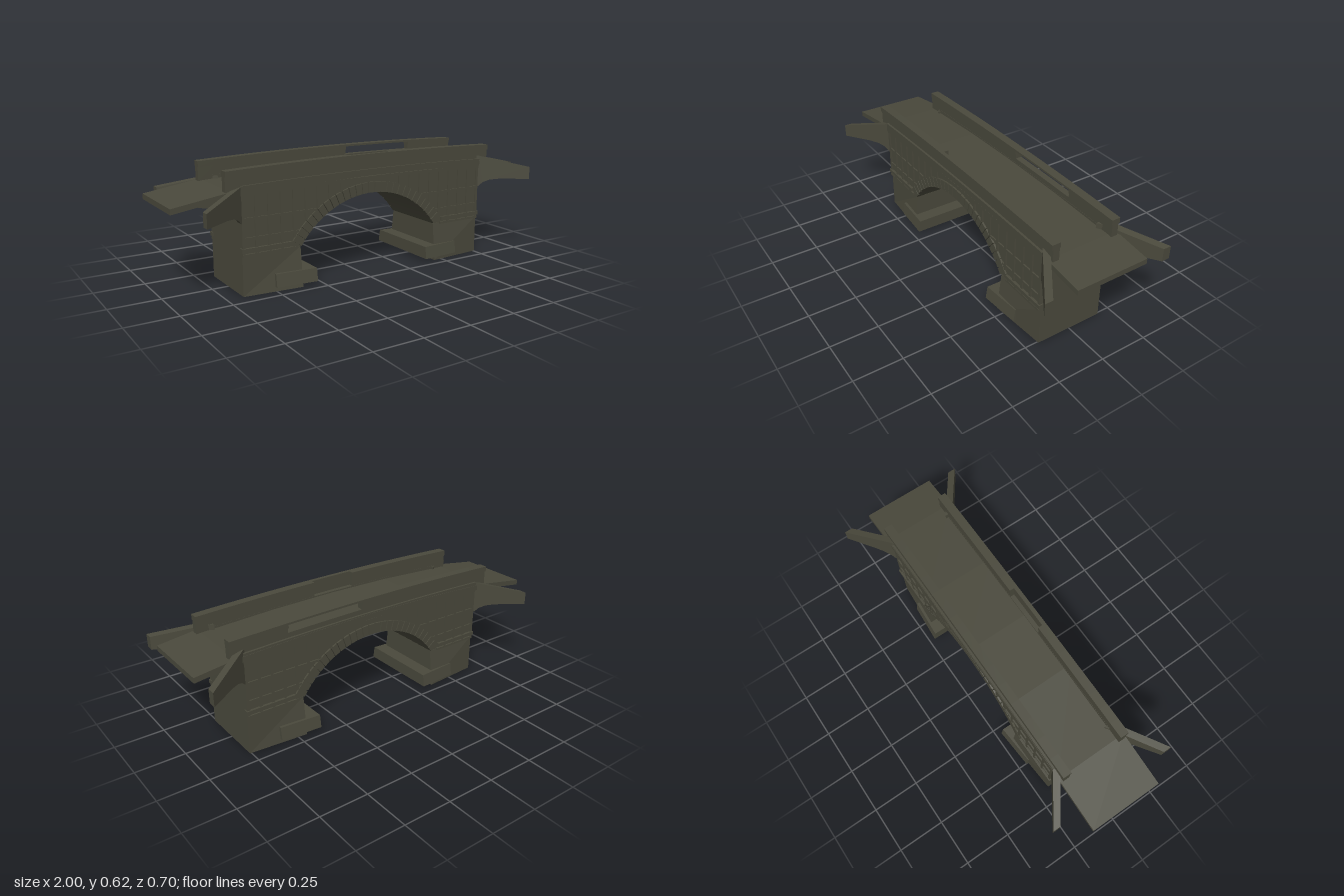
import * as THREE from 'three';

const CX = 0.045;                         // middle of the span
const stone = new THREE.MeshStandardMaterial({ color: 0x4a493c });
stone.name = 'weatheredStone';

export function createModel() {
  const model = new THREE.Group();
  model.name = 'archBridge';

  function add(geo, name) {
    const g = geo.index ? geo.toNonIndexed() : geo;
    g.computeVertexNormals();
    const mesh = new THREE.Mesh(g, stone);
    mesh.name = name;
    model.add(mesh);
    return mesh;
  }

  // Extrudes an x-y outline between two depths
  function prism(pts, z0, z1) {
    const shape = new THREE.Shape(pts.map(([x, y]) => new THREE.Vector2(x, y)));
    const g = new THREE.ExtrudeGeometry(shape, { depth: z1 - z0, bevelEnabled: false });
    return g.translate(0, 0, z0);
  }

  const box = (x0, x1, y0, y1, z0, z1) => new THREE.BoxGeometry(x1 - x0, y1 - y0, z1 - z0)
    .translate((x0 + x1) / 2, (y0 + y1) / 2, (z0 + z1) / 2);

  // Outline of a long bar that rises gently to mid-span
  const camber = x => 0.015 * (1 - ((x - CX) / 0.78) ** 2);
  function bar(x0, x1, y0, y1, z0, z1) {
    const top = [], bottom = [], n = 8;
    for (let i = 0; i <= n; i++) {
      const x = x0 + (x1 - x0) * i / n;
      bottom.push([x, y0 + camber(x)]);
      top.unshift([x, y1 + camber(x)]);
    }
    return prism([...bottom, ...top], z0, z1);
  }

  // Segmental arch
  const R = 0.488, RO = 0.542, AY = -0.068, HALF = 0.985;
  const onArch = (r, a) => [CX + r * Math.sin(a), AY + r * Math.cos(a)];

  // Spandrel body with the arch cut out
  const outline = [[CX + 0.712, 0.2], [CX + 0.712, 0.5], [CX - 0.712, 0.5], [CX - 0.712, 0.2]];
  for (let i = 0; i <= 26; i++) outline.push(onArch(R, -HALF + 2 * HALF * i / 26));
  add(prism(outline, -0.18, 0.18), 'spandrelBody');

  // Piers flaring toward the water, with footing slabs
  for (const s of [-1, 1]) {
    const span = (a, b) => [CX + s * a, CX + s * b].sort((p, q) => p - q);
    const flare = (g, topIn, bottomIn, topOut, bottomOut, midD, midY) => {
      const p = g.attributes.position;
      for (let i = 0; i < p.count; i++) {
        const inner = s * (p.getX(i) - CX) < midD, top = p.getY(i) > midY;
        const z = inner ? (top ? topIn : bottomIn) : (top ? topOut : bottomOut);
        p.setZ(i, Math.sign(p.getZ(i)) * z);
      }
      return g;
    };
    add(flare(box(...span(0.407, 0.712), 0, 0.201, -0.18, 0.18), 0.18, 0.203, 0.18, 0.18, 0.55, 0.1), 'pier');
    add(flare(box(...span(0.335, 0.55), 0.022, 0.087, -0.2, 0.2), 0.212, 0.222, 0.197, 0.207, 0.44, 0.05), 'footing');

    // Corbel under the deck overhang
    const drop = s < 0 ? 0.022 : 0;
    const place = pts => pts.map(([d, y]) => [CX + s * d, y - drop]);
    add(prism(place([[0.7, 0.42], [0.712, 0.425], [0.76, 0.446], [0.9, 0.466], [0.9, 0.476], [0.7, 0.5]]),
      -0.15, 0.15), 'endCorbel');

    // Splayed wing walls, front and back
    const wing = [[0.69, 0.375], [0.715, 0.375], [0.735, 0.397], [0.765, 0.412], [0.81, 0.418],
      [0.942, 0.418], [0.942, 0.485], [0.715, 0.545], [0.69, 0.545]];
    for (const f of [-1, 1]) {
      const g = prism(place(wing), f > 0 ? 0.306 : -0.348, f > 0 ? 0.348 : -0.306);
      const p = g.attributes.position;
      for (let i = 0; i < p.count; i++) {
        p.setZ(i, p.getZ(i) - f * 0.7 * (0.942 - s * (p.getX(i) - CX)));
      }
      add(g, 'wingWall');
    }
  }

  // Facade details on both long sides
  for (const f of [-1, 1]) {
    const depth = (a, b) => f > 0 ? [a, b] : [-b, -a];

    // Ring of wedge stones
    const n = 27, step = 2 * HALF / n;
    for (let i = 0; i < n; i++) {
      const a = -HALF + i * step + 0.004, b = a + step - 0.008;
      add(prism([onArch(R, a), onArch(R, b), onArch(RO, b), onArch(RO, a)], ...depth(0.17, 0.189)), 'archStone');
    }

    // Panel ribs above the piers and over the arch
    const ringTop = d => d < RO * Math.sin(HALF) ? AY + Math.sqrt(RO * RO - d * d) : 0.2;
    const ringSide = y => Math.sqrt(RO * RO - (y - AY) ** 2);
    for (const s of [-1, 1]) {
      const span = (a, b) => [CX + s * a, CX + s * b].sort((p, q) => p - q);
      for (let d = 0.705; d > 0.15; d -= 0.066) {
        add(box(...span(d - 0.007, d + 0.007), ringTop(d - 0.007) - 0.005, 0.49, ...depth(0.17, 0.187)), 'panelRib');
      }
      for (const y of [0.278, 0.372]) {
        add(box(...span(ringSide(y), 0.712), y - 0.006, y + 0.006, ...depth(0.17, 0.187)), 'panelRail');
      }
      add(box(...span(ringSide(0.225), 0.717), 0.214, 0.234, ...depth(0.165, 0.193)), 'stringCourse');
      add(box(...span(0.45, 0.712), 0.194, 0.206, ...depth(0.165, 0.189)), 'lowerCourse');
    }

    // Stepped cornice
    add(bar(CX - 0.714, CX + 0.714, 0.475, 0.49, ...depth(0.16, 0.189)), 'lowerCornice');
    add(bar(CX - 0.714, CX + 0.714, 0.498, 0.526, ...depth(0.145, 0.191)), 'upperCornice');

    // Parapet: front has a thinner bay, back has an opening under the coping
    const x0 = -0.74, x1 = 0.82;
    const [g0, g1] = f > 0 ? [-0.08, 0.16] : [0.1, 0.52];
    add(bar(x0, g0, 0.505, 0.59, ...depth(0.146, 0.18)), 'parapet');
    add(bar(g1, x1, 0.505, 0.59, ...depth(0.146, 0.18)), 'parapet');
    if (f > 0) {
      add(bar(g0, g1, 0.505, 0.59, 0.168, 0.18), 'parapetBay');
      add(bar(x0, g0, 0.575, 0.602, 0.142, 0.187), 'coping');
      add(bar(g1, x1, 0.575, 0.602, 0.142, 0.187), 'coping');
      add(bar(g0, g1, 0.575, 0.602, 0.166, 0.187), 'copingBay');
    } else {
      add(bar(g0, g1, 0.505, 0.55, -0.18, -0.146), 'parapetSill');
      add(bar(x0, g0, 0.575, 0.602, -0.187, -0.142), 'coping');
      add(bar(g1, x1, 0.575, 0.602, -0.187, -0.142), 'coping');
      add(bar(g0, g1, 0.592, 0.602, -0.187, -0.142), 'thinCoping');
    }
  }

  // Road deck
  const road = [[-1, 0.465], [-0.72, 0.507], [-0.3, 0.529], [0.04, 0.535], [0.4, 0.531], [0.8, 0.515], [1, 0.49]];
  const under = road.map(([x, y]) => [x, y - 0.027]).reverse();
  add(prism([...road, ...under], -0.193, 0.19), 'roadDeck');

  return model;
}
